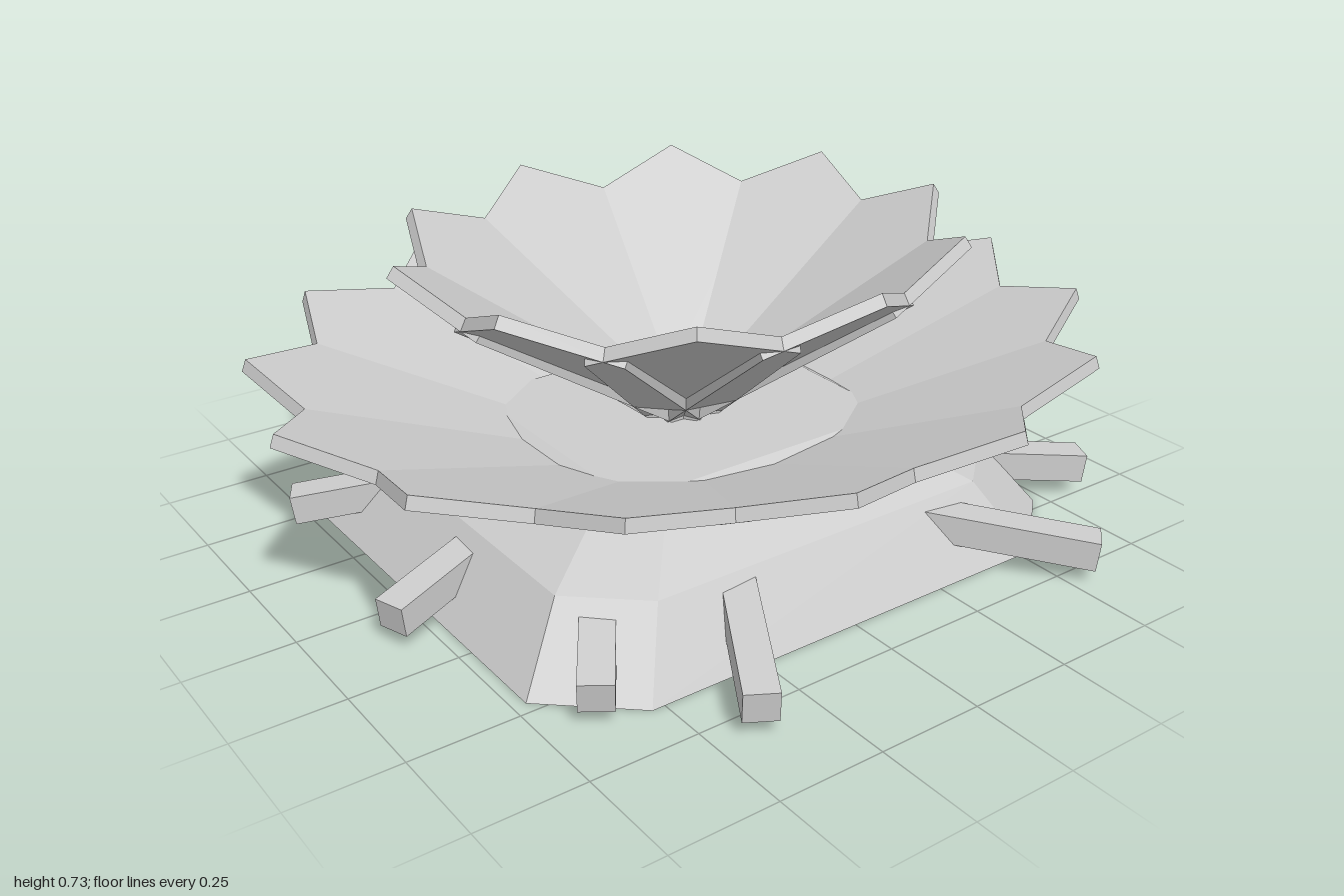
import * as THREE from 'three';

const DEPTH = 0.885; // the bowl and base are slightly oval

// Pointed flat plate, inner end at the axis, rising outward along a slope
function petalGeometry({ start, startHalf, shoulder, shoulderHalf, tip, y0, slope, thick }) {
  const k = Math.sqrt(1 + slope * slope);
  const s = new THREE.Shape();
  s.moveTo(start * k, -startHalf);
  s.lineTo(shoulder * k, -shoulderHalf);
  s.lineTo(tip * k, 0);
  s.lineTo(shoulder * k, shoulderHalf);
  s.lineTo(start * k, startHalf);
  s.closePath();
  const g = new THREE.ExtrudeGeometry(s, { depth: thick, bevelEnabled: false });
  g.rotateX(Math.PI / 2);
  g.rotateZ(Math.atan(slope));
  g.translate(0, y0, 0);
  return g;
}

function petalRing(name, count, offset, spec, material) {
  const ring = new THREE.Group();
  ring.name = name;
  const g = petalGeometry(spec);
  for (let i = 0; i < count; i++) {
    const m = new THREE.Mesh(g, material);
    m.name = 'petal';
    m.rotation.y = -(offset + (i / count) * Math.PI * 2);
    ring.add(m);
  }
  ring.scale.z = DEPTH;
  return ring;
}

// Stepped pedestal: a chamfered rectangle scaled through [scale, height] sections
function baseGeometry() {
  const outline = [[0.72, 0.47], [0.53, 0.637], [-0.53, 0.637], [-0.72, 0.47],
    [-0.72, -0.47], [-0.53, -0.637], [0.53, -0.637], [0.72, -0.47]];
  const sections = [[0, 0], [1, 0], [0.83, 0.165], [0.51, 0.28], [0, 0.28]];
  const pos = [];
  const point = (j, i) => {
    const [x, z] = outline[i % outline.length];
    const [f, y] = sections[j];
    return [x * f, y, z * f];
  };
  for (let j = 0; j < sections.length - 1; j++) {
    for (let i = 0; i < outline.length; i++) {
      const a = point(j, i), b = point(j, i + 1), c = point(j + 1, i + 1), d = point(j + 1, i);
      if (sections[j][0] > 0) pos.push(...a, ...d, ...b);
      if (sections[j + 1][0] > 0) pos.push(...b, ...d, ...c);
    }
  }
  const g = new THREE.BufferGeometry();
  g.setAttribute('position', new THREE.Float32BufferAttribute(pos, 3));
  g.computeVertexNormals();
  return g;
}

export function createModel() {
  const model = new THREE.Group();
  model.name = 'lotusBowl';
  const stone = new THREE.MeshStandardMaterial({ color: 0xcccccc });
  stone.name = 'light grey';

  const base = new THREE.Mesh(baseGeometry(), stone);
  base.name = 'base';
  model.add(base);

  // Wide lower ring and steeper upper ring of petals
  model.add(petalRing('lowerPetals', 14, 0, {
    start: 0.2, startHalf: 0.07, shoulder: 0.84, shoulderHalf: 0.225,
    tip: 1, y0: 0.128, slope: 0.36, thick: 0.03,
  }, stone));
  model.add(petalRing('upperPetals', 10, THREE.MathUtils.degToRad(12), {
    start: 0, startHalf: 0.08, shoulder: 0.535, shoulderHalf: 0.225,
    tip: 0.67, y0: 0.275, slope: 0.68, thick: 0.03,
  }, stone));

  // Square pegs around the base: inner x, z to outer x, z, dipping outward
  const pegs = [
    [0.60, -0.06, 0.88, 0.16], [0.54, 0.33, 0.86, 0.48], [0.28, 0.49, 0.57, 0.80],
    [-0.22, 0.50, -0.41, 0.83], [-0.50, 0.40, -0.65, 0.62], [-0.52, 0.02, -0.84, 0.13],
    [-0.52, -0.30, -0.80, -0.45], [-0.43, -0.45, -0.53, -0.74], [-0.03, -0.53, -0.12, -0.86],
    [0.14, -0.50, 0.27, -0.81], [0.39, -0.46, 0.42, -0.78], [0.51, -0.30, 0.77, -0.53],
  ];
  const ring = new THREE.Group();
  ring.name = 'pegs';
  for (const [x0, z0, x1, z1] of pegs) {
    const inner = new THREE.Vector3(x0, 0.112, z0);
    const outer = new THREE.Vector3(x1, 0.068, z1);
    const peg = new THREE.Mesh(new THREE.BoxGeometry(0.075, 0.07, inner.distanceTo(outer)), stone);
    peg.name = 'peg';
    peg.position.copy(inner).lerp(outer, 0.5);
    peg.lookAt(outer);
    ring.add(peg);
  }
  model.add(ring);
  return model;
}
